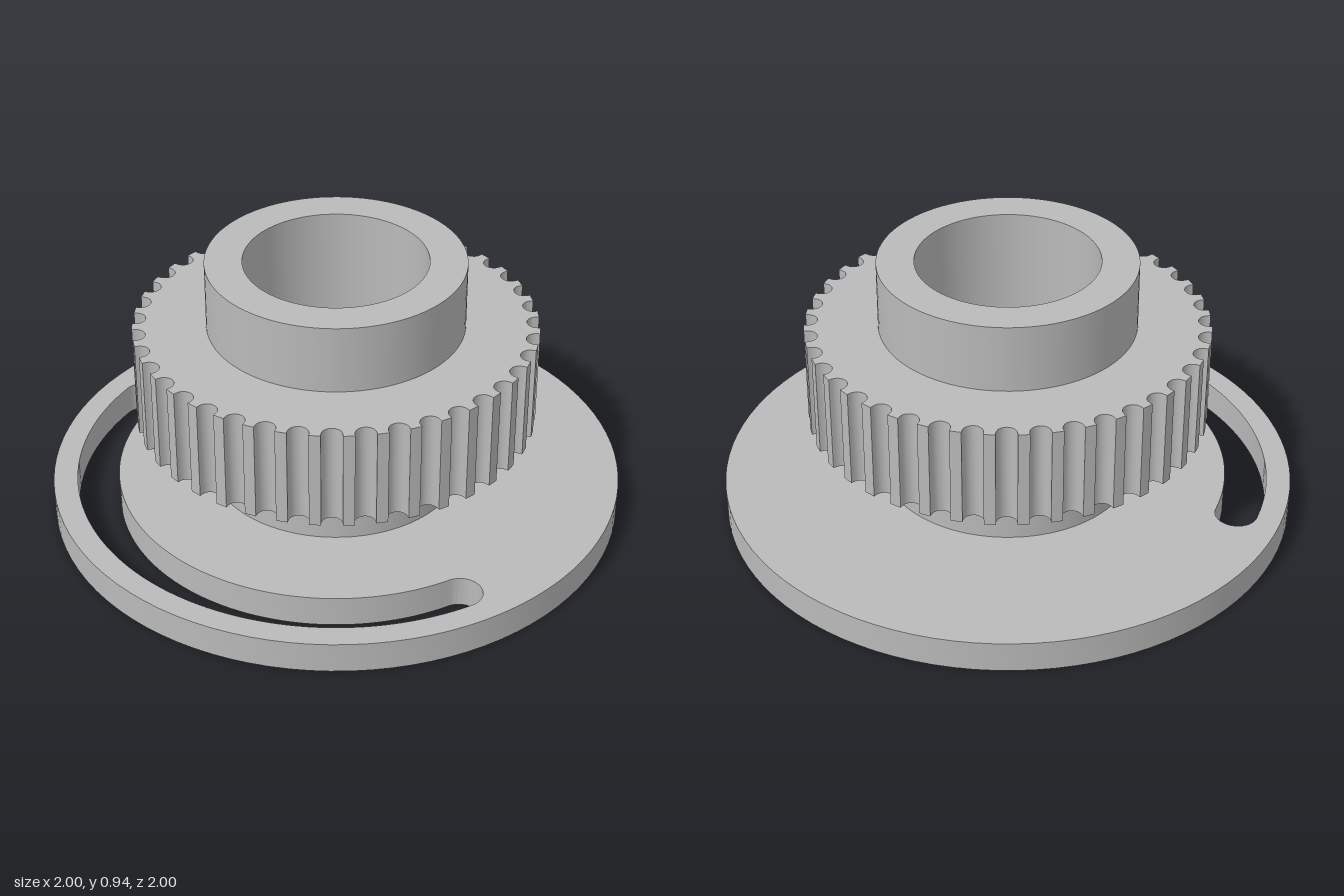
import * as THREE from 'three';
import { toCreasedNormals } from 'three/addons/utils/BufferGeometryUtils.js';

const BORE = 0.315, HUB = 0.443, PLATE_TOP = 0.11, HUB_TOP = 0.94;
const GEAR_BOTTOM = 0.35, GEAR_TOP = 0.70, GEAR_R = 0.695, TEETH = 40;

const circle = (r) => new THREE.Path().absarc(0, 0, r, 0, Math.PI * 2, false);

// Upright extrusion of a flat outline between two heights
function slab(shape, y0, y1, curveSegments) {
  const geo = new THREE.ExtrudeGeometry(shape, { depth: y1 - y0, bevelEnabled: false, curveSegments });
  geo.rotateX(-Math.PI / 2).translate(0, y0, 0);
  return toCreasedNormals(geo, 0.6);
}

// Curved slot with rounded ends, centred on -x
function slotPath() {
  const mid = 0.843, half = 0.073, a0 = Math.PI * 105 / 180, a1 = Math.PI * 255 / 180;
  const path = new THREE.Path();
  path.absarc(0, 0, mid + half, a0, a1, false);
  path.absarc(mid * Math.cos(a1), mid * Math.sin(a1), half, a1, a1 + Math.PI, false);
  path.absarc(0, 0, mid - half, a1, a0, true);
  path.absarc(mid * Math.cos(a0), mid * Math.sin(a0), half, a0 + Math.PI, a0 + Math.PI * 2, false);
  return path;
}

// Toothed outline: round grooves cut into a circle
function gearShape() {
  const points = [], groove = 0.035, centre = 0.685, steps = 10;
  const rim = Math.sqrt(GEAR_R ** 2 - groove ** 2);
  for (let i = 0; i < TEETH; i++) {
    const a = (i / TEETH) * Math.PI * 2, c = Math.cos(a), s = Math.sin(a);
    const add = (r, t) => points.push(new THREE.Vector2(r * c - t * s, r * s + t * c));
    add(rim, -groove);
    for (let k = 0; k <= steps; k++) {
      const b = (k / steps) * Math.PI;
      add(centre - groove * Math.sin(b), -groove * Math.cos(b));
    }
    add(rim, groove);
    // middle of the tooth tip
    const m = a + Math.PI / TEETH;
    points.push(new THREE.Vector2(GEAR_R * Math.cos(m), GEAR_R * Math.sin(m)));
  }
  return new THREE.Shape(points);
}

export function createModel() {
  const group = new THREE.Group();
  const metal = new THREE.MeshStandardMaterial({ color: 0xbababa });
  metal.name = 'grey metal';
  const add = (name, geo) => {
    const mesh = new THREE.Mesh(geo, metal);
    mesh.name = name;
    group.add(mesh);
  };

  // Base disc with bore and curved slot
  const disc = new THREE.Shape().absarc(0, 0, 1, 0, Math.PI * 2, false);
  disc.holes.push(circle(BORE), slotPath());
  add('basePlate', slab(disc, 0, PLATE_TOP, 48));

  // Hollow hub
  const profile = [[HUB, PLATE_TOP], [HUB, HUB_TOP], [BORE, HUB_TOP], [BORE, PLATE_TOP]]
    .map(([r, y]) => new THREE.Vector2(r, y));
  add('hub', toCreasedNormals(new THREE.LatheGeometry(profile, 96), 0.6));

  // Toothed ring around the hub
  const gear = gearShape();
  gear.holes.push(circle(HUB - 0.01));
  add('toothedRing', slab(gear, GEAR_BOTTOM, GEAR_TOP, 48));

  return group;
}
